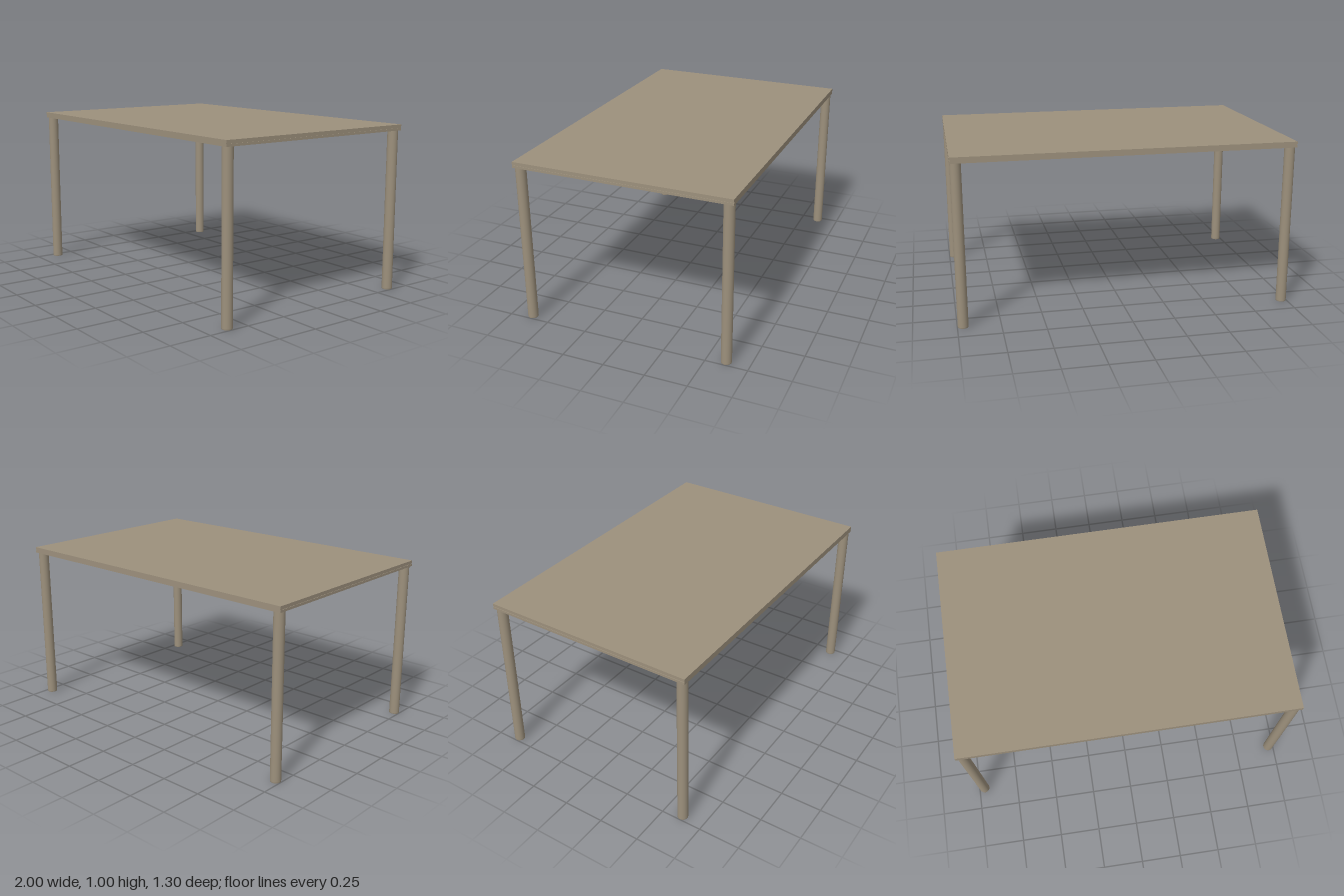
import * as THREE from 'three';

export function createModel() {
  const group = new THREE.Group();
  group.name = 'table';
  const wood = new THREE.MeshStandardMaterial({ color: 0x9c907c });

  // Table top: two boards with a fine shadow groove along both short ends
  const board = (name, length, bottom, top) => {
    const mesh = new THREE.Mesh(new THREE.BoxGeometry(length, top - bottom, 1.3), wood);
    mesh.name = name;
    mesh.position.y = (bottom + top) / 2;
    group.add(mesh);
  };
  board('lowerBoard', 2, 0.965, 0.979);
  board('grooveCore', 1.994, 0.979, 0.985);
  board('upperBoard', 2, 0.985, 1);

  // Round legs set flush into the four corners, each on a thin foot pad
  const legRadius = 0.031;
  const padHeight = 0.005;
  const legGeometry = new THREE.CylinderGeometry(legRadius, legRadius, 0.965 - padHeight, 32);
  const padGeometry = new THREE.CylinderGeometry(legRadius, legRadius - 0.001, padHeight, 32);
  for (const [side, x] of [['Left', 0.967], ['Right', -0.967]]) {
    for (const [end, z] of [['front', 0.617], ['back', -0.615]]) {
      const leg = new THREE.Group();
      leg.name = `${end}${side}Leg`;
      leg.position.set(x, 0, z);
      const post = new THREE.Mesh(legGeometry, wood);
      post.name = 'post';
      post.position.y = (0.965 + padHeight) / 2;
      const pad = new THREE.Mesh(padGeometry, wood);
      pad.name = 'footPad';
      pad.position.y = padHeight / 2;
      leg.add(post, pad);
      group.add(leg);
    }
  }
  return group;
}
